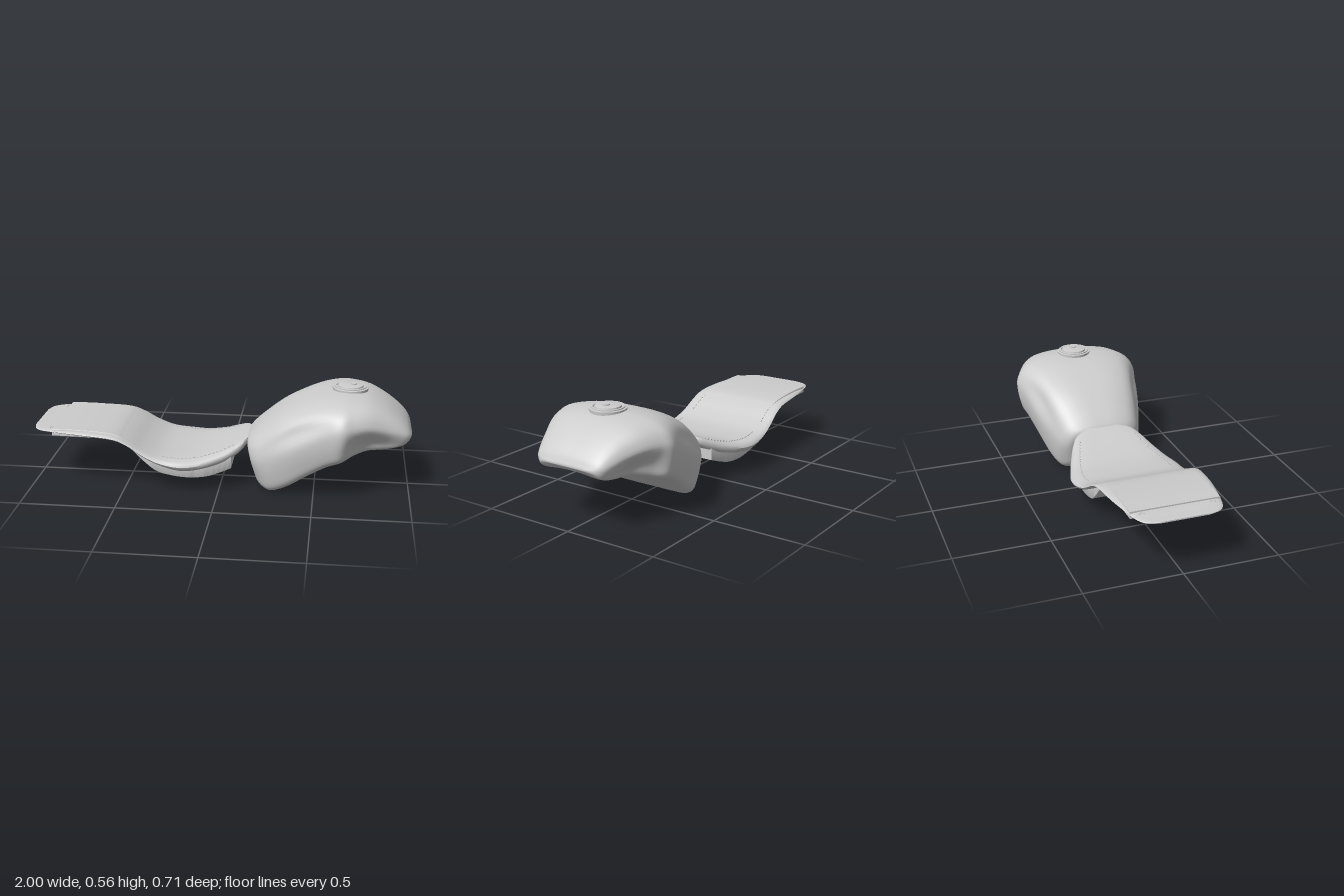
import * as THREE from 'three';
import { toCreasedNormals } from 'three/addons/utils/BufferGeometryUtils.js';

// Smooth interpolation of table rows at a fractional row index
function sampleRows(rows, t) {
  const n = rows.length - 1;
  const i = Math.min(Math.floor(t), n - 1), f = t - i;
  const [a, b, c, d] = [i - 1, i, i + 1, i + 2].map(k => rows[Math.max(0, Math.min(n, k))]);
  return b.map((_, k) => 0.5 * (2 * b[k] + (c[k] - a[k]) * f
    + (2 * a[k] - 5 * b[k] + 4 * c[k] - d[k]) * f * f
    + (3 * b[k] - a[k] - 3 * c[k] + d[k]) * f * f * f));
}

// Skin equal-length rings running along +x, closed at both ends
function loft(rings) {
  const m = rings[0].length, pos = [], idx = [];
  rings.forEach(r => r.forEach(p => pos.push(p.x, p.y, p.z)));
  for (let i = 0; i < rings.length - 1; i++) {
    for (let j = 0; j < m; j++) {
      const a = i * m + j, b = i * m + (j + 1) % m;
      idx.push(a, b, a + m, b, b + m, a + m);
    }
  }
  [0, rings.length - 1].forEach((r, end) => {
    const c = new THREE.Vector3();
    rings[r].forEach(p => c.addScaledVector(p, 1 / m));
    const k = pos.length / 3;
    pos.push(c.x, c.y, c.z);
    for (let j = 0; j < m; j++) {
      const a = r * m + j, b = r * m + (j + 1) % m;
      if (end) idx.push(k, a, b); else idx.push(k, b, a);
    }
  });
  const g = new THREE.BufferGeometry();
  g.setAttribute('position', new THREE.Float32BufferAttribute(pos, 3));
  g.setIndex(idx);
  g.computeVertexNormals();
  return g;
}

// Mirror a half section [across, up] listed from top centre to bottom centre
function mirrorSection(half) {
  return half.concat(half.slice(1, -1).reverse().map(([f, v]) => [-f, v]));
}

// Tank stations: top x, top y, bottom x, bottom y, half width, lower half width, underside arch
const TANK = [
  [0.150, 0.235, 0.182, 0.10, 0.12, 0.11, 0],
  [0.140, 0.265, 0.200, 0.045, 0.185, 0.175, 0],
  [0.165, 0.300, 0.235, 0.014, 0.225, 0.215, 0],
  [0.220, 0.350, 0.280, 0.005, 0.250, 0.245, 0],
  [0.320, 0.425, 0.360, 0.040, 0.285, 0.275, 0],
  [0.420, 0.475, 0.460, 0.110, 0.315, 0.305, 0],
  [0.530, 0.515, 0.560, 0.175, 0.338, 0.332, 0],
  [0.630, 0.530, 0.640, 0.210, 0.359, 0.345, 0],
  [0.700, 0.530, 0.700, 0.230, 0.335, 0.280, 0.003],
  [0.780, 0.517, 0.770, 0.242, 0.300, 0.220, 0.008],
  [0.860, 0.480, 0.850, 0.250, 0.258, 0.210, 0.014],
  [0.930, 0.430, 0.920, 0.265, 0.225, 0.207, 0.018],
  [0.975, 0.385, 0.965, 0.285, 0.197, 0.192, 0.016],
  [0.995, 0.350, 0.990, 0.315, 0.160, 0.165, 0.005],
  [1.000, 0.338, 1.000, 0.330, 0.120, 0.120, 0],
];

function tankGeometry() {
  const half = [[0, 1], [0.3, 0.995], [0.55, 0.965], [0.75, 0.905], [0.9, 0.79], [0.98, 0.63],
    [1, 0.45], [0.985, 0.25], [0.93, 0.09], [0.8, 0.015], [0.5, 0], [0, 0]];
  const curve = new THREE.CatmullRomCurve3(
    mirrorSection(half).map(([f, v]) => new THREE.Vector3(f, v, 0)), true);
  const section = curve.getPoints(72).slice(0, -1);
  const rings = [], steps = (TANK.length - 1) * 5;
  for (let i = 0; i <= steps; i++) {
    const [tx, ty, bx, by, w, wb, arch] = sampleRows(TANK, i / 5);
    rings.push(section.map(({ x: f, y: v }) => {
      const x = THREE.MathUtils.lerp(bx, tx, v);
      const width = THREE.MathUtils.lerp(wb, w, THREE.MathUtils.smoothstep(v, 0.15, 0.62));
      // Knee hollow above the widest line
      const hollow = 0.07 * Math.exp(-(((x - 0.4) / 0.13) ** 2) - ((v - 0.72) / 0.12) ** 2);
      const lift = arch * (1 - f * f) * Math.max(0, 1 - v * 4);
      return new THREE.Vector3(x, THREE.MathUtils.lerp(by, ty, v) + lift, f * width * (1 - hollow));
    }));
  }
  return loft(rings);
}

// Seat cover stations: x, top y, bottom y, half width
const COVER = [
  [-1.000, 0.305, 0.298, 0.130], [-0.985, 0.306, 0.297, 0.180], [-0.950, 0.307, 0.296, 0.212],
  [-0.880, 0.310, 0.295, 0.233], [-0.720, 0.311, 0.290, 0.262], [-0.560, 0.300, 0.280, 0.275],
  [-0.480, 0.272, 0.253, 0.280], [-0.400, 0.228, 0.202, 0.288], [-0.310, 0.195, 0.158, 0.296],
  [-0.200, 0.185, 0.131, 0.298], [-0.100, 0.190, 0.133, 0.272], [0.000, 0.215, 0.155, 0.235],
  [0.070, 0.242, 0.185, 0.203], [0.120, 0.264, 0.220, 0.165], [0.148, 0.275, 0.250, 0.100],
];

// Seat base stations: x, top y, bottom y, half width
const BASE = [
  [-0.885, 0.317, 0.280, 0.230], [-0.720, 0.316, 0.278, 0.230], [-0.560, 0.303, 0.272, 0.230],
  [-0.480, 0.268, 0.238, 0.230], [-0.400, 0.215, 0.160, 0.230], [-0.330, 0.180, 0.105, 0.230],
  [-0.250, 0.160, 0.083, 0.230], [-0.160, 0.155, 0.075, 0.230], [-0.070, 0.165, 0.082, 0.225],
  [0.000, 0.180, 0.102, 0.215], [0.065, 0.200, 0.126, 0.200],
];

function seatGeometry(rows, half) {
  const section = mirrorSection(half), rings = [], steps = (rows.length - 1) * 5;
  for (let i = 0; i <= steps; i++) {
    const [x, top, bottom, w] = sampleRows(rows, i / 5);
    rings.push(section.map(([f, v]) =>
      new THREE.Vector3(x, THREE.MathUtils.lerp(bottom, top, v), f * w)));
  }
  return toCreasedNormals(loft(rings), 0.7);
}

function coverAt(x) {
  const i = COVER.findIndex((r, k) => x >= r[0] && x < COVER[k + 1][0]);
  return sampleRows(COVER, i + (x - COVER[i][0]) / (COVER[i + 1][0] - COVER[i][0]));
}

export function createModel() {
  const group = new THREE.Group();
  const grey = new THREE.MeshStandardMaterial({ color: 0xcccccc });
  grey.name = 'light grey';
  const add = (name, geometry, parent = group) => {
    const mesh = new THREE.Mesh(geometry, grey);
    mesh.name = name;
    parent.add(mesh);
    return mesh;
  };

  add('fuelTank', tankGeometry());

  // Filler cap with stepped rings and a lock
  const cap = new THREE.Group();
  cap.name = 'fillerCap';
  cap.position.x = 0.675;
  group.add(cap);
  const profile = [[0.088, 0.50], [0.094, 0.532], [0.094, 0.539], [0.084, 0.541], [0.084, 0.546],
    [0.074, 0.546], [0.071, 0.541], [0.067, 0.541], [0.065, 0.550], [0.05, 0.553], [0, 0.554]];
  add('capRings', toCreasedNormals(
    new THREE.LatheGeometry(profile.map(p => new THREE.Vector2(...p)), 48), 0.5), cap);
  add('capLock', new THREE.CylinderGeometry(0.018, 0.018, 0.008, 24), cap).position.set(0.015, 0.555, 0);

  // Seat: thin padded cover over a boxy base
  add('seatCover', seatGeometry(COVER, [[0, 1], [0.5, 1], [0.8, 0.97], [0.92, 0.88], [0.98, 0.7],
    [1, 0.45], [0.98, 0.2], [0.93, 0], [0, 0]]));
  add('seatBase', seatGeometry(BASE, [[0, 1], [0.5, 1], [0.99, 1], [1, 0.9], [1, 0.05],
    [0.99, 0], [0.5, 0], [0, 0]]));

  // Stitching along both edges of the seat
  const stitches = new THREE.Group();
  stitches.name = 'stitching';
  group.add(stitches);
  const stitch = new THREE.BoxGeometry(0.012, 0.006, 0.004);
  for (const side of [-1, 1]) {
    for (const [start, end] of [[-0.52, -0.39], [-0.29, 0.08]]) {
      for (let x = start; x < end; x += 0.02) {
        const [, y, , w] = coverAt(x), ahead = coverAt(x + 0.01);
        const mesh = add('stitch', stitch, stitches);
        mesh.position.set(x, y - 0.001, side * w * 0.79);
        mesh.rotation.z = Math.atan2(ahead[1] - y, 0.01);
      }
    }
    // Rivets on the tail flap
    for (const [x, z] of [[-0.905, 0.17], [-0.905, 0.19], [-0.895, 0.18]]) {
      add('rivet', new THREE.CylinderGeometry(0.004, 0.004, 0.006, 10), stitches)
        .position.set(x, 0.309, side * z);
    }
  }
  return group;
}
